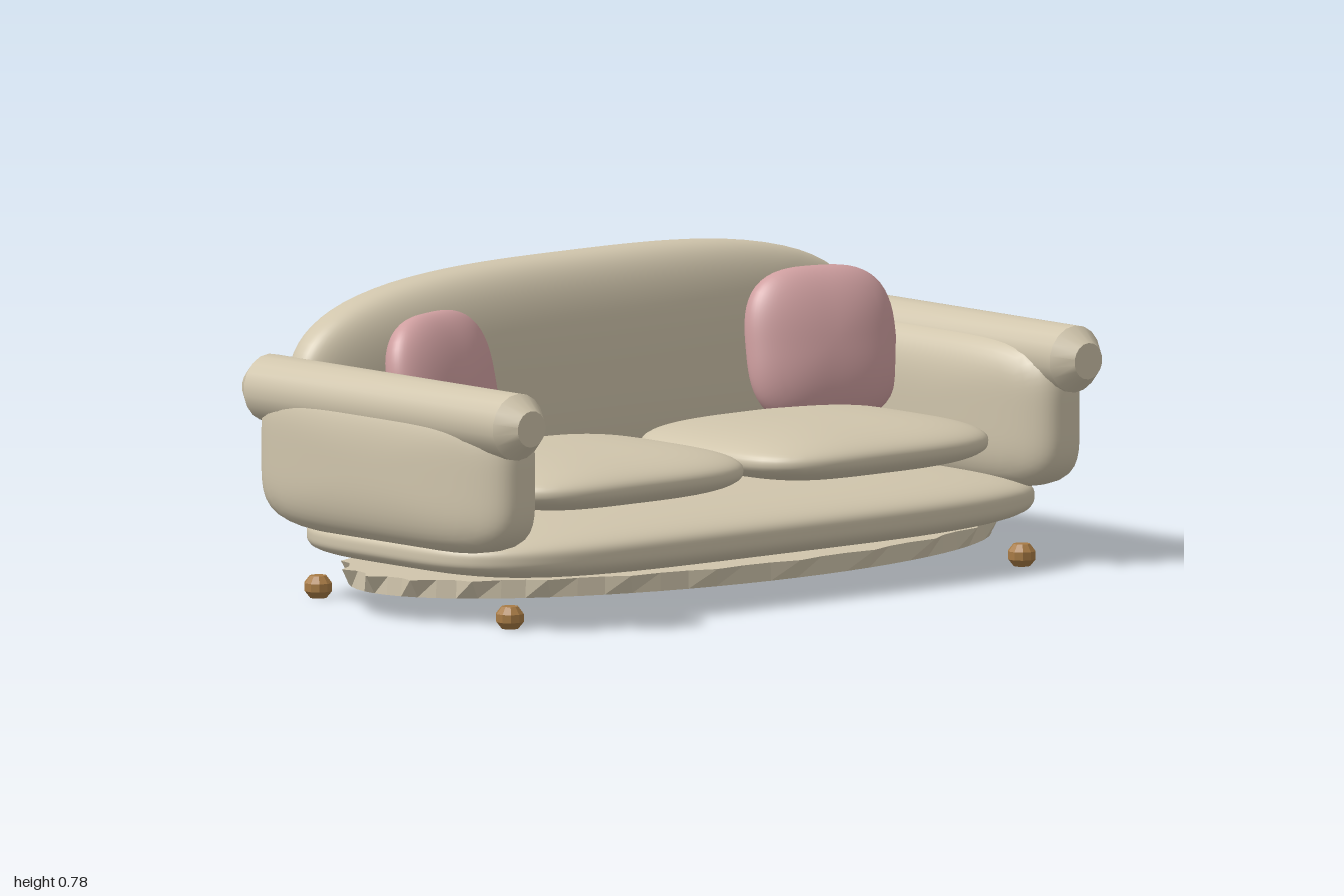
import * as THREE from 'three';
import { mergeVertices, toCreasedNormals } from 'three/addons/utils/BufferGeometryUtils.js';

const fabric = new THREE.MeshStandardMaterial({ color: 0xd0c5ac });
fabric.name = 'cream fabric';
const pink = new THREE.MeshStandardMaterial({ color: 0xcf9fa0 });
pink.name = 'dusty pink fabric';
const wood = new THREE.MeshStandardMaterial({ color: 0xa87b45 });
wood.name = 'warm wood';

// Soft stuffed block: a rounded outline across the two wide axes (power n)
// and a rounded profile along the thin axis (power m).
function cushionGeometry(half, thin, n, m, segments = 18) {
  const box = new THREE.BoxGeometry(2, 2, 2, segments, segments, segments);
  box.deleteAttribute('uv');
  box.deleteAttribute('normal');
  const geometry = mergeVertices(box, 1e-4);
  const pos = geometry.attributes.position;
  const [a, b] = [0, 1, 2].filter((axis) => axis !== thin);
  for (let i = 0; i < pos.count; i++) {
    const v = [pos.getX(i), pos.getY(i), pos.getZ(i)].map((c) => Math.tan(c * Math.PI / 4));
    const outline = Math.pow(Math.abs(v[a]) ** n + Math.abs(v[b]) ** n, 1 / n);
    const r = Math.pow(outline ** m + Math.abs(v[thin]) ** m, 1 / m);
    pos.setXYZ(i, v[0] / r * half[0], v[1] / r * half[1], v[2] / r * half[2]);
  }
  geometry.computeVertexNormals();
  return geometry;
}

// Pleated oval skirt: smooth at the hem, rippled along the top edge.
function skirtGeometry() {
  const height = 0.045;
  const geometry = new THREE.CylinderGeometry(1, 1, height, 72, 1);
  const pos = geometry.attributes.position;
  for (let i = 0; i < pos.count; i++) {
    const x = pos.getX(i), z = pos.getZ(i), y = pos.getY(i);
    const angle = Math.atan2(z, x);
    const ripple = y > 0 ? 1.008 + 0.022 * Math.cos(angle * 24) : 1;
    pos.setXYZ(i, x * 0.96 * ripple, y, z * 0.475 * ripple);
  }
  const flat = geometry.toNonIndexed();
  flat.computeVertexNormals();
  return flat;
}

// Turned shape from [radius, height] pairs.
function turned(points, sides) {
  const profile = points.map(([r, y]) => new THREE.Vector2(r, y));
  return toCreasedNormals(new THREE.LatheGeometry(profile, sides), 0.5);
}

export function createModel() {
  const sofa = new THREE.Group();
  sofa.name = 'sofa';

  function add(name, geometry, material, x, y, z) {
    const mesh = new THREE.Mesh(geometry, material);
    mesh.name = name;
    mesh.position.set(x, y, z);
    sofa.add(mesh);
    return mesh;
  }

  // Base, skirt and backrest
  add('seatBase', cushionGeometry([0.95, 0.074, 0.472], 1, 4.2, 3.2, 24), fabric, 0, 0.167, -0.005);
  add('skirt', skirtGeometry(), fabric, 0, 0.083, -0.008);
  add('backrest', cushionGeometry([0.91, 0.3, 0.13], 2, 3, 2.7, 26), fabric, 0, 0.48, -0.37);

  // Parts repeated on both sides
  const armGeometry = cushionGeometry([0.115, 0.19, 0.465], 0, 4.5, 3);
  const rollGeometry = turned([
    [0, -0.515], [0.045, -0.515], [0.083, -0.465],
    [0.083, 0.465], [0.045, 0.515], [0, 0.515],
  ], 18);
  const seatGeometry = cushionGeometry([0.385, 0.067, 0.335], 1, 3.8, 2.4);
  const pillowGeometry = cushionGeometry([0.2, 0.195, 0.082], 2, 3, 2.1);
  const footGeometry = turned([
    [0, 0], [0.021, 0], [0.035, 0.017], [0.035, 0.037], [0.021, 0.055], [0, 0.055],
  ], 10);

  for (const [side, label] of [[1, 'left'], [-1, 'right']]) {
    add(label + 'ArmPanel', armGeometry, fabric, side * 0.885, 0.37, -0.005);
    add(label + 'ArmRoll', rollGeometry, fabric, side * 0.905, 0.517, 0).rotation.x = Math.PI / 2;
    add(label + 'SeatCushion', seatGeometry, fabric, side * 0.398, 0.317, 0.075);

    const pillow = add(label + 'Pillow', pillowGeometry, pink, side * 0.615, 0.515, -0.15);
    pillow.rotation.order = 'YXZ';
    pillow.rotation.set(-0.2, -side * 0.27, 0);

    for (const [z, end] of [[0.35, 'Front'], [-0.365, 'Back']]) {
      add(label + end + 'Foot', footGeometry, wood, side * 0.832, 0, z);
    }
  }
  return sofa;
}
